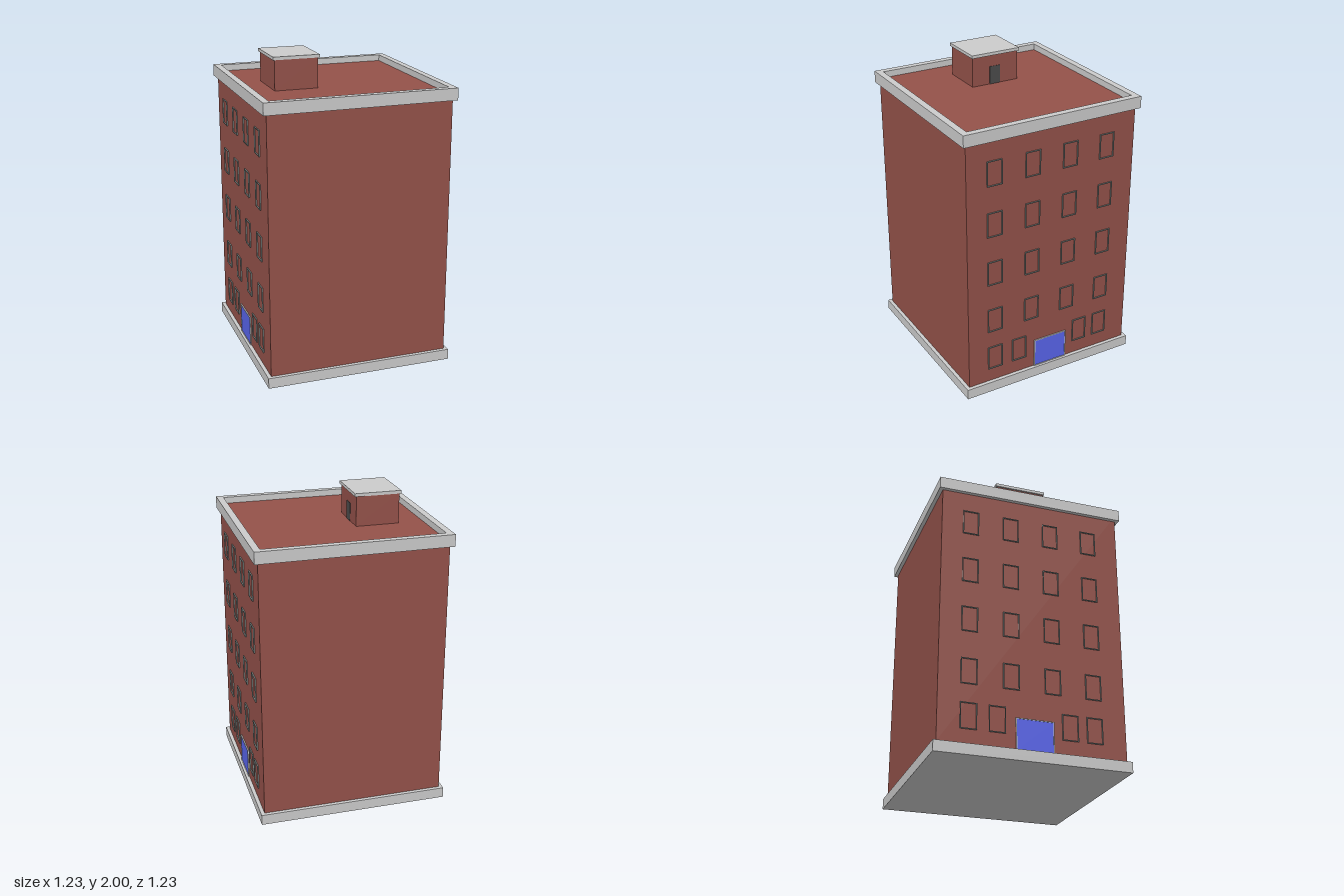
import * as THREE from 'three';

const brick = new THREE.MeshStandardMaterial({ color: 0x94524a });
const grey = new THREE.MeshStandardMaterial({ color: 0xcccccc });
const frameGrey = new THREE.MeshStandardMaterial({ color: 0x7c8583 });
const blue = new THREE.MeshStandardMaterial({ color: 0x5965ec });
const dark = new THREE.MeshStandardMaterial({ color: 0x4c4c4c });

const WALL = 0.593; // half width of the brick block
const EDGE = 0.617; // half width of plinth and parapet
const ROOF = 1.787; // roof deck height

// Box given by its lower and upper limits on each axis
function box(name, material, [x0, x1], [y0, y1], [z0, z1]) {
  const mesh = new THREE.Mesh(new THREE.BoxGeometry(x1 - x0, y1 - y0, z1 - z0), material);
  mesh.position.set((x0 + x1) / 2, (y0 + y1) / 2, (z0 + z1) / 2);
  mesh.name = name;
  return mesh;
}

// Rectangular ring, extruded along +z from z = 0
function ring(w, h, border, depth) {
  const rect = (C, a, b) => new C([[-a, -b], [a, -b], [a, b], [-a, b]].map(p => new THREE.Vector2(...p)));
  const shape = rect(THREE.Shape, w / 2, h / 2);
  shape.holes.push(rect(THREE.Path, w / 2 - border, h / 2 - border));
  return new THREE.ExtrudeGeometry(shape, { depth, bevelEnabled: false });
}

// One facade on the +x wall: window grid, entrance windows and door
function createFacade(name) {
  const facade = new THREE.Group();
  facade.name = name;
  const windowGeometry = ring(0.103, 0.164, 0.005, 0.01);
  const upper = [0.404, 0.14, -0.125, -0.389];
  const ground = [0.404, 0.228, -0.231, -0.389];
  [0.244, 0.525, 0.866, 1.202, 1.541].forEach((y, floor) => {
    for (const z of floor === 0 ? ground : upper) {
      const frame = new THREE.Mesh(windowGeometry, frameGrey);
      frame.name = 'windowFrame';
      frame.rotation.y = Math.PI / 2;
      frame.position.set(WALL - 0.002, y, z);
      facade.add(frame);
    }
  });

  // Entrance door with a thin surround
  const surround = new THREE.Mesh(ring(0.24, 0.2, 0.006, 0.01), grey);
  surround.name = 'doorSurround';
  surround.rotation.y = Math.PI / 2;
  surround.position.set(WALL - 0.002, 0.168, -0.006);
  facade.add(surround);
  facade.add(box('entranceDoor', blue, [WALL - 0.01, WALL + 0.005], [0.069, 0.263], [-0.121, 0.109]));
  return facade;
}

export function createModel() {
  const model = new THREE.Group();
  model.name = 'apartmentBuilding';

  // Plinth and brick block
  model.add(box('plinth', grey, [-EDGE, EDGE], [0, 0.069], [-EDGE, EDGE]));
  model.add(box('walls', brick, [-WALL, WALL], [0.069, ROOF], [-WALL, WALL]));

  // Parapet around the roof deck
  const parapet = new THREE.Mesh(ring(EDGE * 2, EDGE * 2, 0.044, 0.077), grey);
  parapet.name = 'parapet';
  parapet.rotation.x = -Math.PI / 2;
  parapet.position.y = 1.751;
  model.add(parapet);

  // Matching facades on both sides
  const left = createFacade('leftFacade');
  const right = createFacade('rightFacade');
  right.rotation.y = Math.PI;
  model.add(left, right);

  // Stair hut on the roof
  const hut = new THREE.Group();
  hut.name = 'roofHut';
  hut.add(box('hutWalls', brick, [-0.411, -0.129], [ROOF, 1.98], [-0.172, 0.154]));
  hut.add(box('hutRoof', grey, [-0.421, -0.118], [1.98, 2], [-0.18, 0.161]));
  hut.add(box('hutDoor', dark, [-0.14, -0.126], [ROOF, 1.905], [-0.045, 0.03]));
  model.add(hut);

  return model;
}
